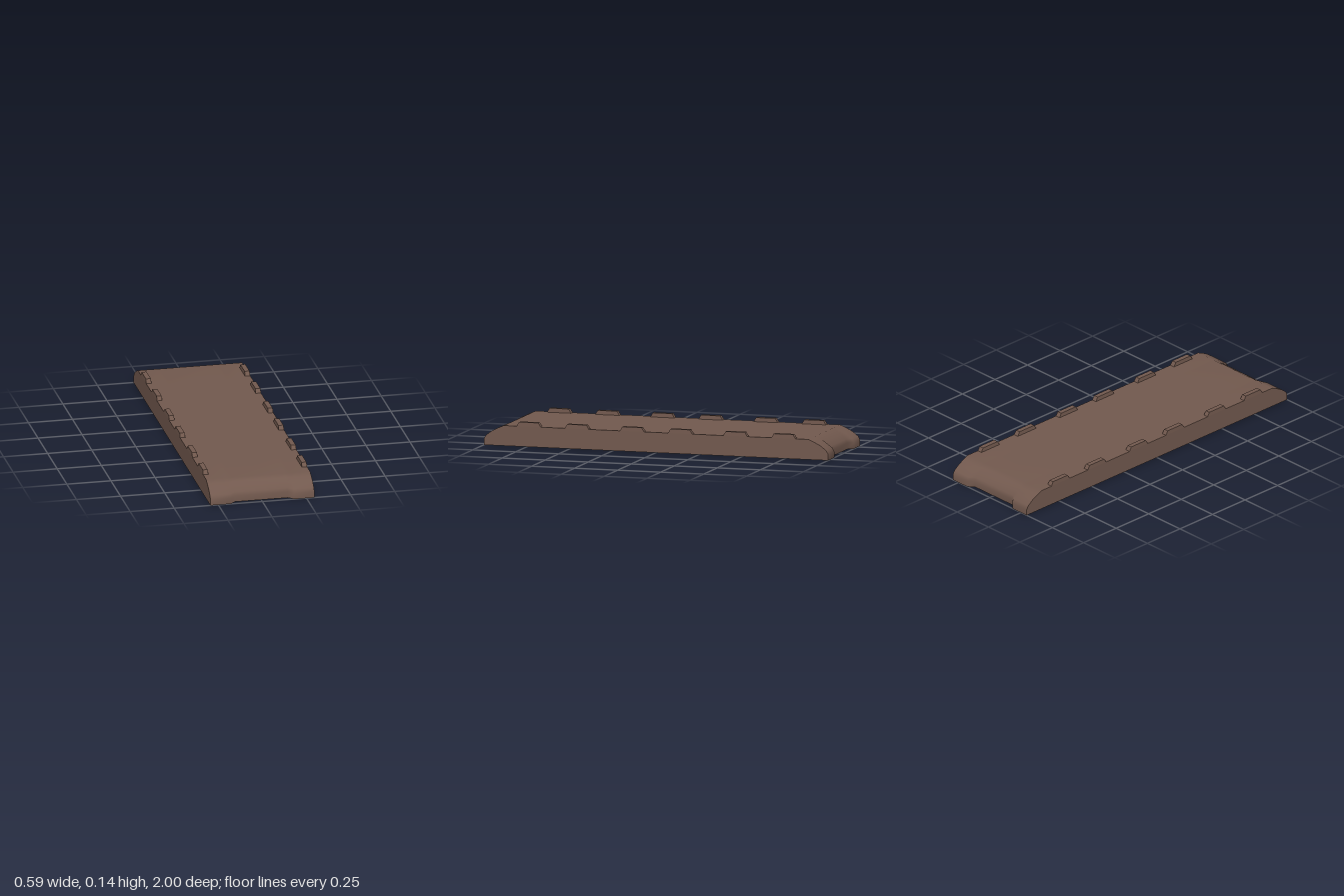
import * as THREE from 'three';

const W = 0.295, TOP = 0.113;

// Build a geometry from triangles of points; smooth shares the vertices given by index
function meshFrom(points, index, material, name) {
  const g = new THREE.BufferGeometry();
  g.setAttribute('position', new THREE.Float32BufferAttribute(points.flat(), 3));
  g.setIndex(index);
  g.computeVertexNormals();
  const m = new THREE.Mesh(g, material);
  m.name = name;
  return m;
}

export function createModel() {
  const group = new THREE.Group();
  group.name = 'notchedPlank';
  const brown = new THREE.MeshStandardMaterial({ color: 0x72594e });
  brown.name = 'brown';

  // Side profile as [z, y], from the back foot over the top to the front foot
  const half = [[1, 0], [1, 0.035], [0.988, 0.055], [0.955, 0.08], [0.92, 0.098], [0.885, TOP], [0.6, TOP]];
  const profile = [...half.map(([z, y]) => [-z, y]), ...half.slice().reverse()];
  const n = profile.length, last = n - 1;

  // Stations across the width; the rounded ends step inward between the end lugs
  const stations = [[-W, 1], [-0.18, 1], [-0.15, 0.75], [0.15, 0.75], [0.18, 1], [W, 1]];
  const grid = stations.map(([x, k]) => profile.map(([z, y]) => {
    const over = Math.max(0, Math.abs(z) - 0.885);
    return [x, y, Math.sign(z) * (Math.abs(z) - over * (1 - k))];
  }));

  // Smooth deck running over both rounded ends
  const deck = [];
  for (let i = 0; i < stations.length - 1; i++) {
    for (let j = 0; j < last; j++) {
      const a = i * n + j, b = a + 1, c = a + n, d = c + 1;
      deck.push(a, b, c, c, b, d);
    }
  }
  group.add(meshFrom(grid.flat(), deck, brown, 'deck'));

  // Flat underside
  const under = [];
  for (let i = 0; i < stations.length - 1; i++) {
    const a = i * 2;
    under.push(a, a + 2, a + 1, a + 2, a + 3, a + 1);
  }
  group.add(meshFrom(grid.flatMap(s => [s[0], s[last]]), under, brown, 'underside'));

  // Flat side walls
  const fan = [], fanBack = [];
  for (let j = 1; j < last; j++) {
    fan.push(0, j, j + 1);
    fanBack.push(0, j + 1, j);
  }
  group.add(meshFrom(grid[stations.length - 1], fan, brown, 'leftSide'));
  group.add(meshFrom(grid[0], fanBack, brown, 'rightSide'));

  // Tapered cleats along both long edges
  const cleat = new THREE.BoxGeometry(0.03, 0.023, 0.14);
  const p = cleat.attributes.position;
  for (let i = 0; i < p.count; i++) {
    if (p.getY(i) > 0) {
      p.setX(i, p.getX(i) * 0.92);
      p.setZ(i, p.getZ(i) * 0.8);
    }
  }
  cleat.computeVertexNormals();
  for (const side of [-1, 1]) {
    for (const z of [-0.74, -0.46, -0.14, 0.14, 0.46, 0.74]) {
      const m = new THREE.Mesh(cleat, brown);
      m.name = side > 0 ? 'leftCleat' : 'rightCleat';
      m.position.set(side * (W - 0.015), TOP + 0.0115, z);
      group.add(m);
    }
  }
  return group;
}
